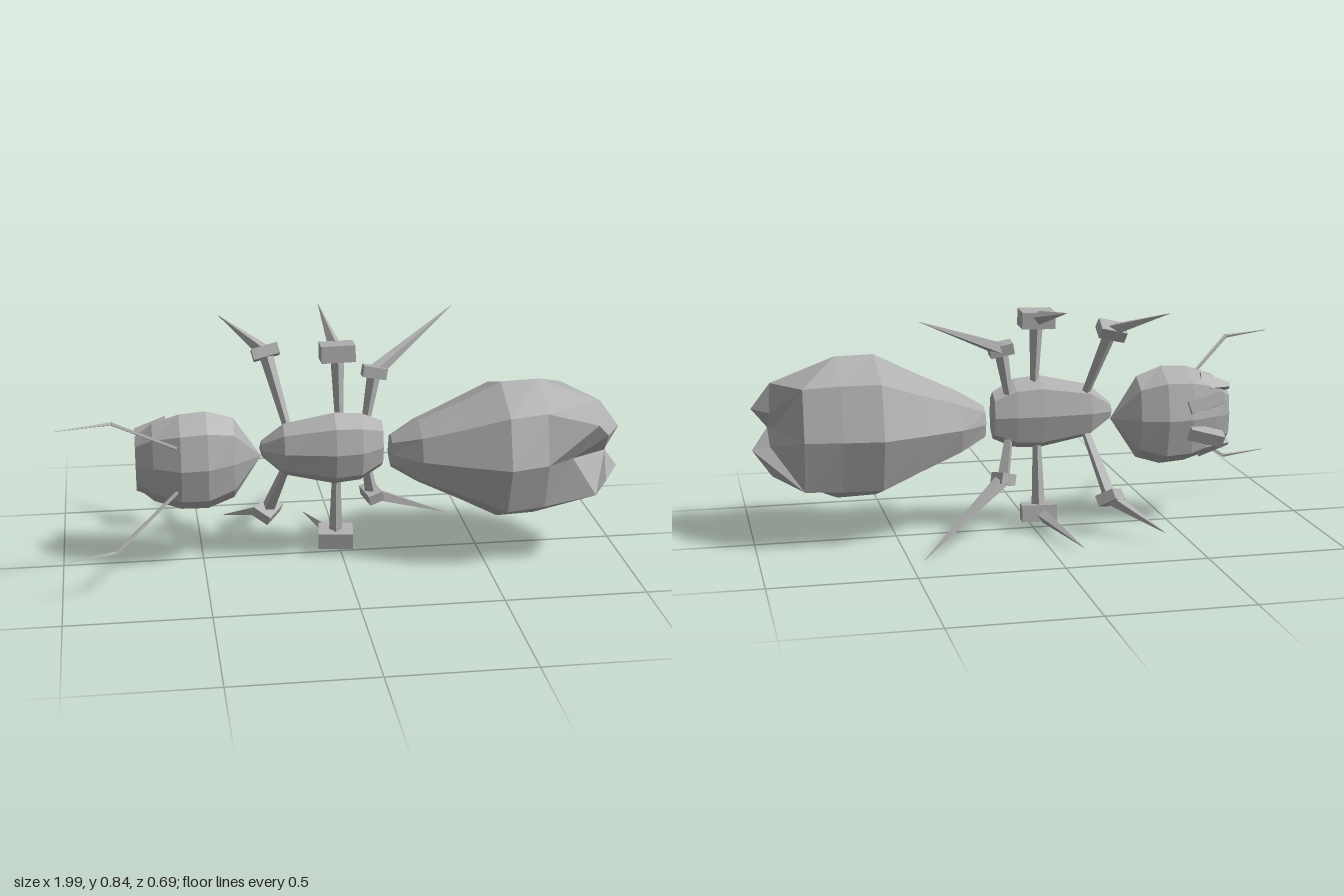
import * as THREE from 'three';

const shell = new THREE.MeshStandardMaterial({ color: 0xb0b0b0 });
shell.name = 'grey shell';

const V = (p) => new THREE.Vector3(...p);

function mesh(name, geometry) {
  const flat = geometry.index ? geometry.toNonIndexed() : geometry;
  flat.computeVertexNormals();
  const m = new THREE.Mesh(flat, shell);
  m.name = name;
  return m;
}

// Half of a faceted cross-section as [side, depth], from the back (+z) round to the belly (-z)
const HALF = [[0, 1], [0.68, 0.77], [1, 0.08], [0.73, -0.76], [0, -1]];

// Half ring of [x, side, z] points
const half = (x, zBelly, zBack, side) => HALF.map(([s, d]) =>
  [x, s * side, (zBack + zBelly) / 2 + d * (zBack - zBelly) / 2]);

// Skin over half rings (x increasing), mirrored about the height y
function loft(name, y, halves, startCap, endCap) {
  const rings = halves.map((h) => [
    ...h.map(([x, s, z]) => [x, y + s, z]),
    ...h.slice(1, -1).reverse().map(([x, s, z]) => [x, y - s, z]),
  ]);
  const n = rings[0].length, last = rings.length - 1, out = [];
  const tri = (a, b, c) => out.push(...a, ...b, ...c);
  const cap = (p) => [p[0], y, p[1]];
  for (let j = 0; j < n; j++) {
    const k = (j + 1) % n;
    for (let i = 0; i < last; i++) {
      const a = rings[i], b = rings[i + 1];
      tri(a[j], b[j], b[k]);
      tri(a[j], b[k], a[k]);
    }
    tri(cap(startCap), rings[0][j], rings[0][k]);
    tri(cap(endCap), rings[last][k], rings[last][j]);
  }
  const g = new THREE.BufferGeometry();
  g.setAttribute('position', new THREE.Float32BufferAttribute(out, 3));
  return mesh(name, g);
}

// Turn a part so its own y axis points along a direction
function aim(part, dir) {
  part.quaternion.setFromUnitVectors(new THREE.Vector3(0, 1, 0), dir.clone().normalize());
  return part;
}

// Tapered four-sided rod between two points
function rod(name, from, to, r0, r1) {
  const a = V(from), b = V(to), d = b.clone().sub(a);
  const m = mesh(name, new THREE.CylinderGeometry(r1, r0, d.length(), 4));
  m.position.copy(a).add(b).multiplyScalar(0.5);
  return aim(m, d);
}

function leg(name, hip, knee, tip, size) {
  const g = new THREE.Group();
  g.name = name;
  const joint = mesh('knee', new THREE.BoxGeometry(...size));
  joint.position.set(...knee);
  aim(joint, V(knee).sub(V(hip)));
  g.add(rod('upperLeg', hip, knee, 0.015, 0.025), joint, rod('lowerLeg', knee, tip, 0.027, 0.001));
  return g;
}

export function createModel() {
  const model = new THREE.Group();
  model.name = 'ant';

  // Abdomen, with two lobes and a groove at its rear
  model.add(loft('abdomen', 0.4, [
    half(0.175, -0.02, 0.08, 0.06),
    half(0.27, -0.09, 0.175, 0.115),
    half(0.42, -0.15, 0.245, 0.185),
    half(0.56, -0.2, 0.305, 0.255),
    half(0.7, -0.185, 0.265, 0.255),
    [[0.8, 0, 0.2], [0.88, 0.13, 0.235], [0.925, 0.168, 0.07], [0.83, 0.18, -0.13], [0.83, 0, -0.165]],
    [[0.935, 0, 0.125], [0.92, 0.085, 0.215], [0.992, 0.075, 0.09], [0.93, 0.06, 0.07], [0.915, 0, 0.08]],
  ], [0.165, 0.03], [0.935, 0.12]));

  // Thorax
  model.add(loft('thorax', 0.425, [
    half(-0.285, -0.01, 0.04, 0.03),
    half(-0.21, -0.04, 0.1, 0.095),
    half(-0.03, -0.05, 0.135, 0.133),
    half(0.065, -0.05, 0.125, 0.125),
    half(0.145, -0.04, 0.07, 0.085),
  ], [-0.293, 0.01], [0.155, 0.0]));

  // Head
  model.add(loft('head', 0.395, [
    half(-0.73, -0.02, 0.05, 0.095),
    half(-0.67, -0.05, 0.095, 0.145),
    half(-0.575, -0.09, 0.145, 0.177),
    half(-0.48, -0.1, 0.14, 0.182),
    half(-0.385, -0.07, 0.09, 0.15),
  ], [-0.715, 0.015], [-0.287, 0.01]));

  for (const s of [1, -1]) {
    const side = s > 0 ? 'upper' : 'lower';

    // Jaws and cheek spikes
    const jaw = mesh(side + 'Jaw', new THREE.BoxGeometry(0.13, 0.045, 0.05));
    jaw.position.set(-0.62, 0.395 + s * 0.06, -0.08);
    jaw.rotation.set(s * 0.3, -0.1, -s * 0.25);
    model.add(jaw, rod(side + 'Cheek', [-0.62, 0.395 + s * 0.11, 0], [-0.73, 0.395 + s * 0.105, -0.01], 0.05, 0.012));

    // Antennae
    const joint = [-0.81, 0.398 + s * 0.233, 0.275];
    model.add(
      rod(side + 'AntennaBase', [-0.58, 0.395 + s * 0.075, 0.11], joint, 0.006, 0.007),
      rod(side + 'AntennaTip', joint, [-0.995, 0.4 + s * 0.236, 0.343], 0.007, 0.001),
    );
  }

  // Legs: hip, knee, tip and knee size
  const legs = [
    ['upperFrontLeg', [-0.19, 0.49, 0], [-0.255, 0.74, -0.115], [-0.405, 0.825, -0.31], [0.095, 0.04, 0.07]],
    ['lowerFrontLeg', [-0.19, 0.36, 0], [-0.255, 0.135, -0.12], [-0.405, 0.048, -0.305], [0.095, 0.04, 0.07]],
    ['upperMiddleLeg', [-0.01, 0.53, 0.03], [-0.015, 0.77, 0.015], [-0.037, 0.845, -0.345], [0.12, 0.06, 0.085]],
    ['lowerMiddleLeg', [-0.02, 0.32, 0.03], [-0.018, 0.065, -0.005], [-0.1, 0.027, -0.345], [0.125, 0.06, 0.085]],
    ['upperRearLeg', [0.09, 0.49, -0.01], [0.125, 0.675, -0.035], [0.457, 0.83, -0.32], [0.085, 0.04, 0.055]],
    ['lowerRearLeg', [0.09, 0.36, -0.01], [0.12, 0.208, -0.05], [0.45, 0.008, -0.315], [0.085, 0.04, 0.055]],
  ];
  for (const l of legs) model.add(leg(...l));

  return model;
}
